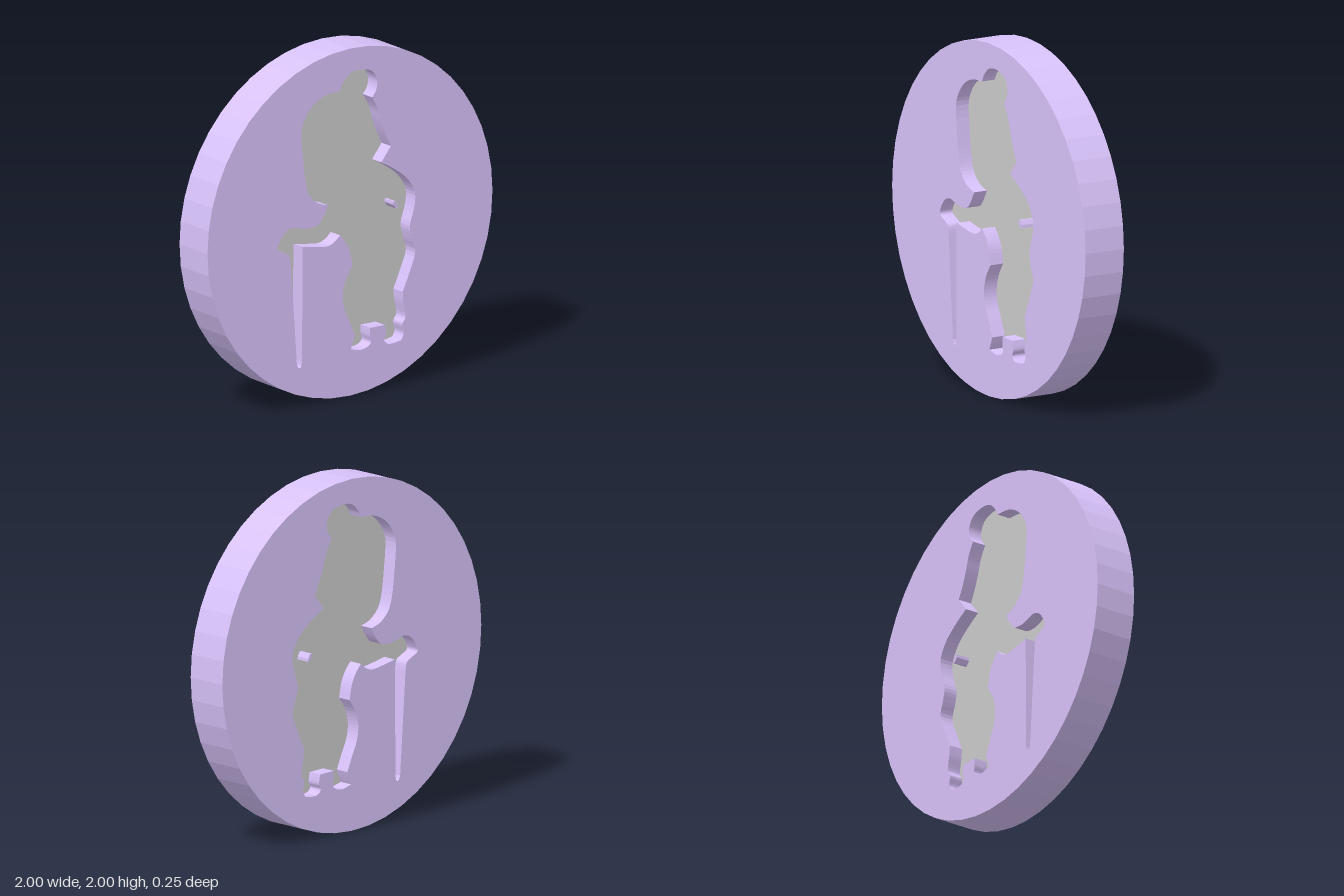
import * as THREE from 'three';

const THICK = 0.25, PLATE = 0.084;

// Figure outline: smooth runs that meet at sharp corners, each starting where the last ended
const RUNS = [
  // head bump, face, chin
  [[-0.05, 1.81], [0, 1.855], [0.07, 1.866], [0.15, 1.845], [0.19, 1.79], [0.185, 1.73], [0.155, 1.69]],
  [[0.195, 1.62], [0.22, 1.54], [0.25, 1.46], [0.287, 1.385]],
  [[0.22, 1.303]],
  // shoulder, back and trouser seat
  [[0.31, 1.25], [0.4, 1.18], [0.455, 1.09], [0.45, 1], [0.42, 0.9], [0.435, 0.82], [0.457, 0.74], [0.42, 0.64], [0.37, 0.53]],
  [[0.375, 0.47], [0.39, 0.385], [0.367, 0.345], [0.378, 0.29], [0.36, 0.255]],
  // feet
  [[0.31, 0.247], [0.265, 0.25], [0.24, 0.275], [0.253, 0.31], [0.245, 0.362]],
  [[0.14, 0.365]],
  [[0.14, 0.32], [0.147, 0.28], [0.12, 0.257]],
  [[0.07, 0.25], [0.005, 0.265]],
  [[0.02, 0.3], [0.035, 0.34]],
  // front leg and belly
  [[0, 0.42], [-0.04, 0.51], [-0.05, 0.59], [-0.03, 0.67], [0.017, 0.745]],
  [[0, 0.83], [-0.03, 0.89], [-0.07, 0.937]],
  // underside of arm, cane, hand
  [[-0.11, 0.905], [-0.16, 0.89], [-0.24, 0.9], [-0.332, 0.917]],
  [[-0.337, 0.26]],
  [[-0.343, 0.23], [-0.36, 0.225], [-0.373, 0.25]],
  [[-0.415, 0.84]],
  [[-0.425, 0.885], [-0.46, 0.907], [-0.505, 0.93], [-0.5, 0.965], [-0.46, 1.02], [-0.4, 1.041],
    [-0.31, 1.017], [-0.23, 1.022], [-0.19, 1.06], [-0.152, 1.125]],
  // back of head
  [[-0.22, 1.147], [-0.28, 1.2], [-0.31, 1.28], [-0.33, 1.43], [-0.34, 1.58], [-0.31, 1.66], [-0.25, 1.725], [-0.17, 1.762], [-0.07, 1.77]],
];

// Flattens the runs into one list of points
function figurePoints() {
  const out = [];
  let last = new THREE.Vector2(-0.07, 1.77);
  for (const run of RUNS) {
    const pts = [last, ...run.map(([x, y]) => new THREE.Vector2(x, y))];
    const line = pts.length > 2 ? new THREE.SplineCurve(pts).getPoints((pts.length - 1) * 4) : pts;
    out.push(...line.slice(1));
    last = pts[pts.length - 1];
  }
  return out;
}

// Extrudes a shape evenly about z = 0
function slab(name, shape, depth, color) {
  const geo = new THREE.ExtrudeGeometry(shape, { depth, bevelEnabled: false });
  geo.translate(0, 0, -depth / 2);
  const mesh = new THREE.Mesh(geo, new THREE.MeshStandardMaterial({ color }));
  mesh.name = name;
  return mesh;
}

export function createModel() {
  const group = new THREE.Group();
  group.name = 'figureMedallion';
  const purple = 0xd8c2fa;
  const figure = figurePoints();
  const chip = [[0.307, 1.06], [0.322, 1.06], [0.336, 1.035], [0.338, 1.018], [0.325, 1.017], [0.306, 1.042]]
    .map(([x, y]) => new THREE.Vector2(x, y));

  // Disc pierced by the figure
  const rim = Array.from({ length: 48 }, (_, i) => {
    const a = (i / 48) * Math.PI * 2;
    return new THREE.Vector2(Math.cos(a), 1 + Math.sin(a));
  });
  const disc = new THREE.Shape(rim);
  disc.holes.push(new THREE.Path(figure));
  group.add(slab('disc', disc, THICK, purple));

  // Thin plate set midway in the opening, recessed on both faces
  const plate = new THREE.Shape(figure);
  plate.holes.push(new THREE.Path(chip));
  group.add(slab('figurePlate', plate, PLATE, 0xcccccc));

  // Small island between arm and body, as thick as the disc
  group.add(slab('armGap', new THREE.Shape(chip), THICK, purple));
  return group;
}
